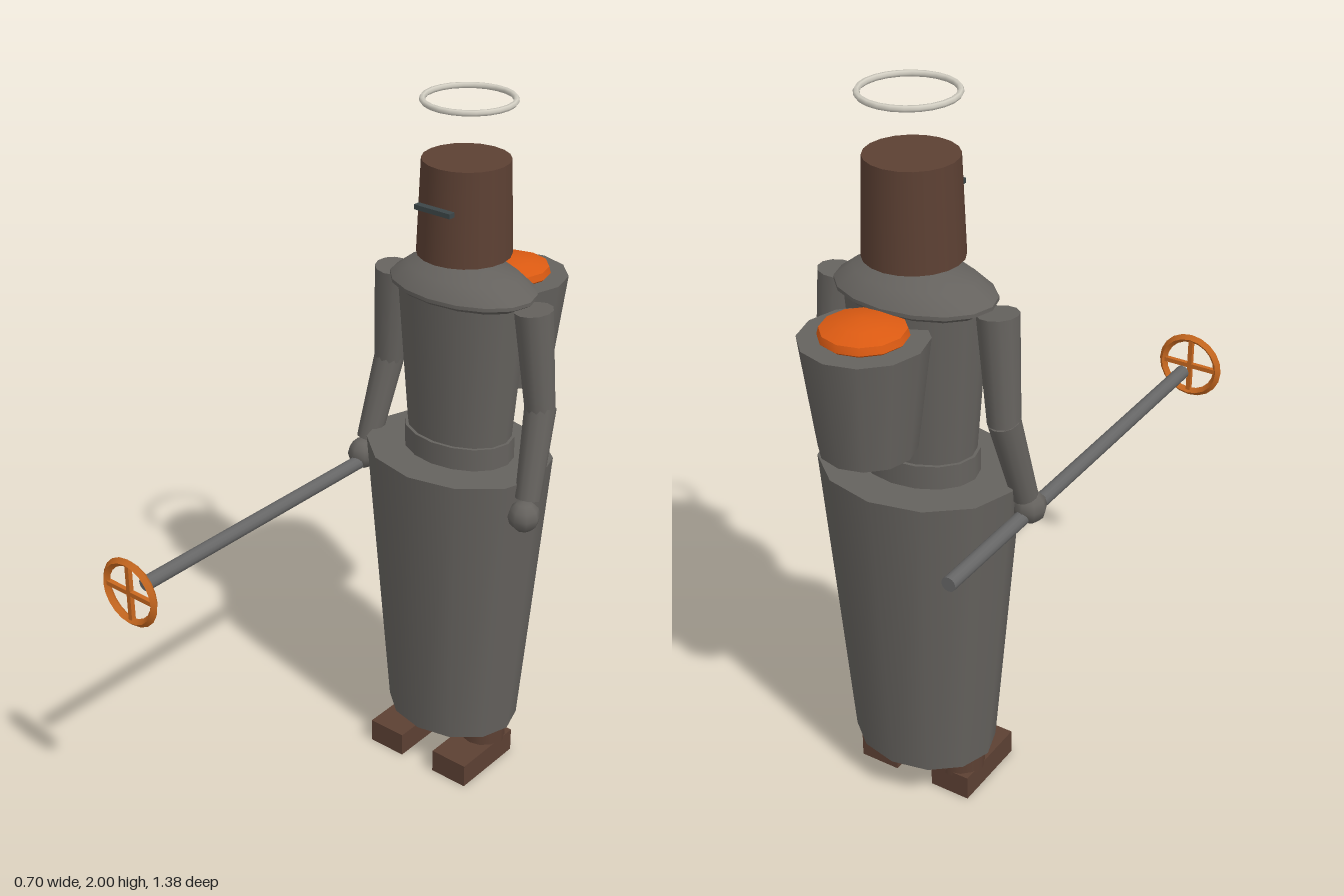
import * as THREE from 'three';
import { toCreasedNormals } from 'three/addons/utils/BufferGeometryUtils.js';

const CX = 0.023, CZ = -0.315; // body axis

function makeMaterial(name, color) {
  const m = new THREE.MeshStandardMaterial({ color });
  m.name = name;
  return m;
}

export function createModel() {
  const root = new THREE.Group();
  root.name = 'wanderer';
  const cloth = makeMaterial('greyCloth', 0x65625e);
  const iron = makeMaterial('greyIron', 0x666666);
  const brown = makeMaterial('brownLeather', 0x5c4033);
  const ember = makeMaterial('emberOrange', 0xdb5a12);
  const copper = makeMaterial('copper', 0xc8681f);
  const pale = makeMaterial('paleRing', 0xd2cec2);
  const slit = makeMaterial('darkSlit', 0x3c4648);

  function add(name, geometry, material, x, y, z, parent = root) {
    const mesh = new THREE.Mesh(geometry, material);
    mesh.name = name;
    mesh.position.set(x, y, z);
    parent.add(mesh);
    return mesh;
  }

  // Upright tapered cylinder from y0 to y1, optionally oval
  function taper(name, mat, rTop, rBottom, y0, y1, x, z, sides = 16, depth = 1) {
    const g = new THREE.CylinderGeometry(rTop, rBottom, y1 - y0, sides);
    g.scale(1, 1, depth);
    return add(name, g, mat, x, (y0 + y1) / 2, z);
  }

  // Tapered limb between two points
  function limb(name, mat, a, b, ra, rb, sides = 12) {
    const dir = b.clone().sub(a);
    const mid = a.clone().add(b).multiplyScalar(0.5);
    const mesh = add(name, new THREE.CylinderGeometry(rb, ra, dir.length(), sides), mat, mid.x, mid.y, mid.z);
    mesh.quaternion.setFromUnitVectors(new THREE.Vector3(0, 1, 0), dir.normalize());
    return mesh;
  }

  // Robe skirt, waistband and torso
  taper('skirt', cloth, 0.276, 0.203, 0.13, 1.005, CX, CZ, 12, 0.825);
  taper('waistband', cloth, 0.167, 0.167, 1.0, 1.07, CX, CZ, 16, 0.75);
  taper('torso', cloth, 0.193, 0.158, 1.06, 1.49, CX, CZ, 16, 0.73);

  // Shoulder mantle sloping up to the neck
  const mantleProfile = [[0, 1.47], [0.195, 1.475], [0.219, 1.49], [0.219, 1.5], [0.167, 1.54], [0.06, 1.567], [0, 1.567]];
  const mantle = new THREE.LatheGeometry(mantleProfile.map(([r, y]) => new THREE.Vector2(r, y)), 16);
  mantle.scale(1, 1, 0.68);
  add('mantle', toCreasedNormals(mantle, 0.6), cloth, CX, 0, CZ);
  taper('neck', cloth, 0.05, 0.05, 1.55, 1.6, CX, CZ);

  // Bucket helmet, eye slit and floating ring
  taper('helmet', brown, 0.117, 0.127, 1.585, 1.84, CX, CZ - 0.003, 20);
  add('eyeSlit', new THREE.BoxGeometry(0.115, 0.013, 0.02), slit, CX, 1.735, CZ + 0.129);
  const halo = new THREE.TorusGeometry(0.119, 0.008, 6, 24);
  halo.rotateX(Math.PI / 2);
  add('halo', halo, pale, CX, 1.992, CZ - 0.008);

  // Arms, legs and boots, mirrored about the body axis
  for (const [side, s] of [['left', 1], ['right', -1]]) {
    const p = (x, y, z) => new THREE.Vector3(CX + s * x, y, z);
    limb(side + 'UpperArm', cloth, p(0.232, 1.485, -0.312), p(0.258, 1.2, -0.325), 0.053, 0.042);
    limb(side + 'Forearm', cloth, p(0.258, 1.21, -0.327), p(0.278, 0.965, -0.258), 0.043, 0.035);
    add(side + 'Hand', new THREE.SphereGeometry(0.045, 8, 6), cloth, CX + s * 0.282, 0.922, -0.238);
    taper(side + 'Leg', cloth, 0.064, 0.064, 0.06, 0.3, CX + s * 0.112, CZ, 12);
    taper(side + 'BootShaft', brown, 0.066, 0.066, 0.06, 0.2, CX + s * 0.116, CZ, 12);
    add(side + 'Boot', new THREE.BoxGeometry(0.118, 0.072, 0.232), brown, CX + s * 0.117, 0.036, -0.262);
  }

  // Bucket of embers on the back
  taper('backBucket', cloth, 0.159, 0.122, 1.16, 1.457, CX, -0.532, 12);
  const emberProfile = [[0.095, 1.45], [0.11, 1.463], [0.105, 1.482], [0.06, 1.497], [0, 1.506]];
  const embers = new THREE.LatheGeometry(emberProfile.map(([r, y]) => new THREE.Vector2(r, y)), 12);
  add('embers', toCreasedNormals(embers, 0.6), ember, CX, 0, -0.532);

  // Staff held in the right hand
  limb('staff', iron, new THREE.Vector3(-0.255, 0.903, -0.61), new THREE.Vector3(-0.255, 0.903, 0.63), 0.02, 0.02);

  // Spoked wheel in front of the staff
  const wheel = new THREE.Group();
  wheel.name = 'wheel';
  wheel.position.set(-0.255, 0.903, 0.68);
  root.add(wheel);
  add('wheelRim', toCreasedNormals(new THREE.TorusGeometry(0.086, 0.012, 4, 20), 0.6), copper, 0, 0, 0, wheel);
  add('wheelSpokeAcross', new THREE.BoxGeometry(0.168, 0.013, 0.013), copper, 0, 0, 0, wheel);
  add('wheelSpokeUpright', new THREE.BoxGeometry(0.013, 0.168, 0.013), copper, 0, 0, 0, wheel);

  return root;
}
